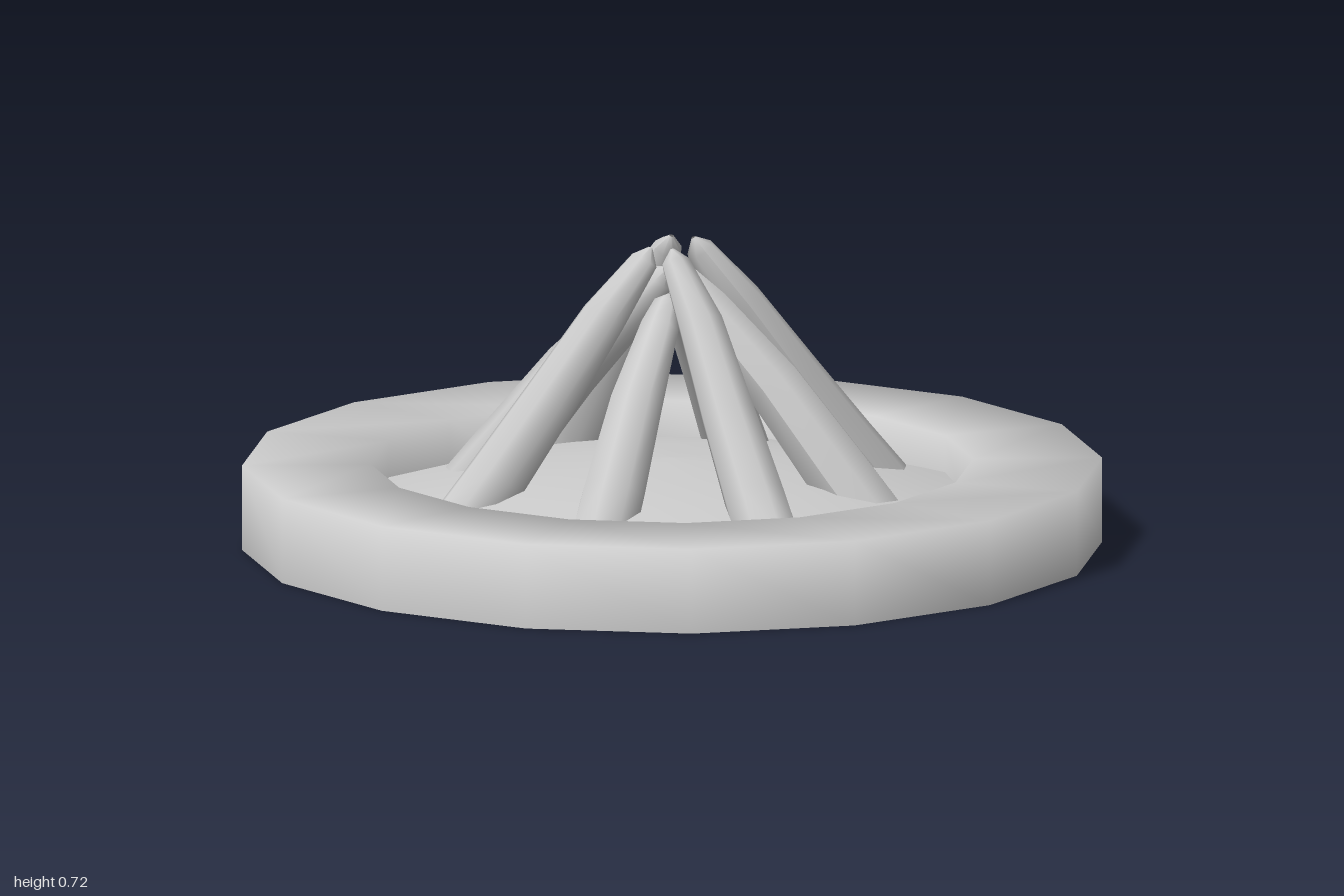
import * as THREE from 'three';

const material = new THREE.MeshStandardMaterial({ color: 0xcccccc, side: THREE.DoubleSide });

// Surface of revolution from [radius, height] points
const lathe = (points, sides) =>
  new THREE.LatheGeometry(points.map(([x, y]) => new THREE.Vector2(x, y)), sides);

// Tapered, bent log: rows of [radius from axis, height, thickness, sideways shift], base to tip
function logGeometry(rows) {
  const geo = new THREE.CylinderGeometry(1, 1, 1, 8, rows.length - 1, true);
  const pos = geo.attributes.position;
  for (let i = 0; i < pos.count; i++) {
    const k = Math.round((pos.getY(i) + 0.5) * (rows.length - 1));
    const a = rows[Math.max(k - 1, 0)], b = rows[Math.min(k + 1, rows.length - 1)];
    const [r, y, t, s] = rows[k];
    const dx = b[0] - a[0], dy = b[1] - a[1], len = Math.hypot(dx, dy);
    const u = pos.getX(i) * t;
    pos.setXYZ(i, r + (u * dy) / len, y - (u * dx) / len, pos.getZ(i) * t + s);
  }
  geo.computeVertexNormals();
  return geo;
}

export function createModel() {
  const model = new THREE.Group();
  const add = (name, geo) => {
    const mesh = new THREE.Mesh(geo, material);
    mesh.name = name;
    model.add(mesh);
    return mesh;
  };

  // Ring open underneath, shaded smoothly over its edges
  add('ring', lathe([[1, 0], [1, 0.2], [0.7, 0.2], [0.7, 0]], 16));

  // Shallow eight-sided mound, its rim tucked under the ring
  add('mound', lathe([[0.85, 0.07], [0.64, 0.13], [0.43, 0.175], [0.21, 0.202], [0, 0.21]], 8));

  // Eight open-bottomed logs leaning together; heights differ by direction
  const sideLog = logGeometry([
    [0.5, 0.09, 0.082, 0], [0.41, 0.2, 0.08, 0], [0.25, 0.4, 0.07, 0],
    [0.09, 0.57, 0.055, 0], [0.03, 0.635, 0.038, 0], [0.01, 0.66, 0.005, 0],
  ]);
  const frontLog = logGeometry([
    [0.49, 0.09, 0.078, 0], [0.4, 0.2, 0.076, 0], [0.25, 0.38, 0.066, 0],
    [0.09, 0.53, 0.048, 0], [0.04, 0.58, 0.032, 0], [0.02, 0.6, 0.005, 0],
  ]);
  const cornerLog = logGeometry([
    [0.54, 0.09, 0.078, 0], [0.45, 0.2, 0.074, 0], [0.32, 0.37, 0.066, -0.005],
    [0.18, 0.56, 0.055, -0.01], [0.085, 0.69, 0.034, -0.03], [0.07, 0.72, 0.005, -0.032],
  ]);
  for (let i = 0; i < 8; i++) {
    const log = add('log' + (i + 1), i % 2 ? cornerLog : i % 4 ? frontLog : sideLog);
    log.rotation.y = (i * Math.PI) / 4;
    log.scale.z = i % 4 === 3 ? -1 : 1; // mirrored on alternate corners
  }
  return model;
}
